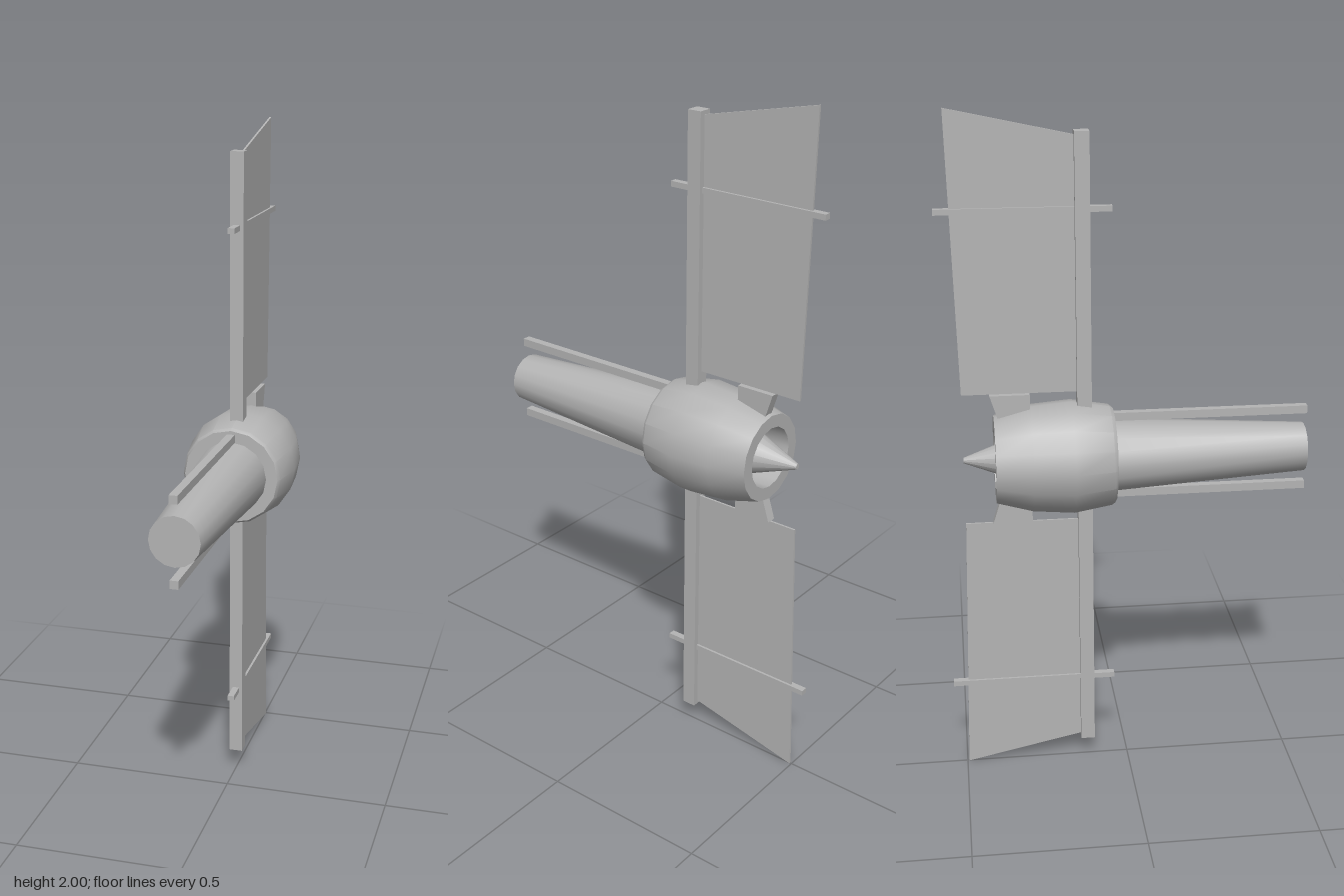
import * as THREE from 'three';
import { toCreasedNormals } from 'three/addons/utils/BufferGeometryUtils.js';

export function createModel() {
  const model = new THREE.Group();
  model.name = 'wingedCraft';
  const grey = new THREE.MeshStandardMaterial({ color: 0xb4b4b4 });
  grey.name = 'hullGrey';

  const add = (parent, name, geometry) => {
    const mesh = new THREE.Mesh(geometry, grey);
    mesh.name = name;
    parent.add(mesh);
    return mesh;
  };

  // Turned part along z, from [radius, z] pairs running back to front
  const turned = (points, sides) => {
    const g = new THREE.LatheGeometry(points.map(([r, z]) => new THREE.Vector2(r, z)), sides);
    g.rotateX(Math.PI / 2);
    return toCreasedNormals(g, 0.5);
  };

  // Box given by its ranges in y and z, centred on x
  const bar = (width, y0, y1, z0, z1) =>
    new THREE.BoxGeometry(width, y1 - y0, z1 - z0).translate(0, (y0 + y1) / 2, (z0 + z1) / 2);

  // Flat plate in the yz plane, from [z, y] corners
  const plate = (corners, thickness) => {
    const shape = new THREE.Shape(corners.map(([z, y]) => new THREE.Vector2(z, y)));
    const g = new THREE.ExtrudeGeometry(shape, { depth: thickness, bevelEnabled: false });
    return g.translate(0, 0, -thickness / 2).rotateY(-Math.PI / 2);
  };

  // Hull, centred on the axis at y = 1
  const hull = new THREE.Group();
  hull.name = 'hull';
  hull.position.y = 1;
  model.add(hull);
  add(hull, 'noseTube', turned([[0.108, -0.06], [0.072, 0.525], [0, 0.525]], 16));
  add(hull, 'engineHousing', turned([
    [0, -0.28], [0.09, -0.28], [0.09, -0.385], [0.128, -0.385], [0.156, -0.28],
    [0.166, -0.16], [0.148, -0.05], [0.141, -0.04], [0, -0.04],
  ], 16));
  add(hull, 'exhaustCone', turned([[0, -0.475], [0.008, -0.475], [0.08, -0.28]], 16));

  // Identical wing assemblies above and below the hull
  ['upper', 'lower'].forEach((side, i) => {
    const wing = new THREE.Group();
    wing.name = side + 'Wing';
    wing.rotation.z = i * Math.PI;
    hull.add(wing);
    add(wing, side + 'Spar', bar(0.04, 0.1, 0.936, -0.145, -0.103));
    add(wing, side + 'Panel', plate(
      [[-0.14, 0.198], [-0.14, 0.924], [-0.495, 1], [-0.475, 0.198]], 0.006));
    add(wing, side + 'CrossBar', bar(0.02, 0.715, 0.731, -0.532, -0.04));
    add(wing, side + 'Fin', plate(
      [[-0.28, 0.11], [-0.28, 0.196], [-0.395, 0.196], [-0.368, 0.11]], 0.03));
    add(wing, side + 'GunRod', bar(0.024, 0.106, 0.13, -0.06, 0.532));
  });

  return model;
}
